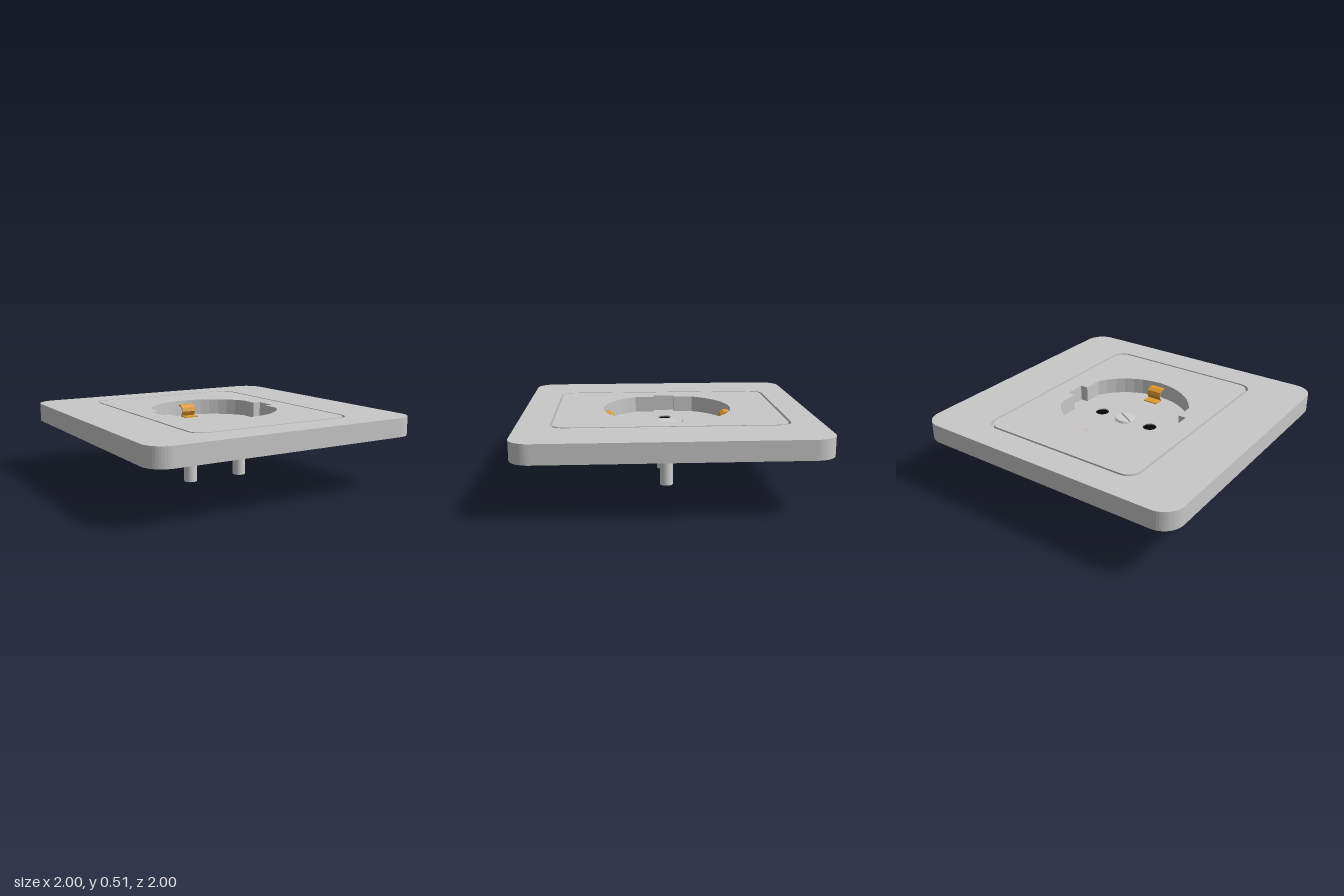
import * as THREE from 'three';

const BOTTOM = 0.38, FLOOR = 0.395, TOP = 0.51;
const CX = 0.007, CZ = -0.012; // centre of the socket insert

const mat = (name, color) => {
  const m = new THREE.MeshStandardMaterial({ color });
  m.name = name;
  return m;
};

// Rounded rectangle; shape y points to -z once laid flat
function roundedRect(hw, hh, r, cx = 0, cy = 0, Type = THREE.Shape) {
  const s = new Type();
  const corners = [[1, 1], [-1, 1], [-1, -1], [1, -1]];
  corners.forEach(([sx, sy], i) =>
    s.absarc(cx + sx * (hw - r), cy + sy * (hh - r), r, i * Math.PI / 2, (i + 1) * Math.PI / 2));
  s.closePath();
  return s;
}

// Round recess with flattened sides and a guide notch on each side
function recessPath() {
  const r = 0.455, flat = 0.4, notch = 0.458, half = 0.077, n = 14;
  const t = Math.acos(flat / r), pts = [];
  for (const side of [1, -1]) {
    pts.push([side * flat, -side * half], [side * notch, -side * half],
      [side * notch, side * half], [side * flat, side * half]);
    for (let i = 0; i <= n; i++) {
      const a = t + (Math.PI - 2 * t) * i / n;
      pts.push([side * r * Math.cos(a), side * r * Math.sin(a)]);
    }
  }
  return new THREE.Path(pts.map(([x, y]) => new THREE.Vector2(x + CX, y - CZ)));
}

// Flat slab of a shape between two heights
function slab(shape, y0, y1, curveSegments = 4) {
  return new THREE.ExtrudeGeometry(shape, { depth: y1 - y0, bevelEnabled: false, curveSegments })
    .rotateX(-Math.PI / 2).translate(0, y0, 0);
}

export function createModel() {
  const group = new THREE.Group();
  const plastic = mat('light grey plastic', 0xc8c8c8);
  const steel = mat('steel', 0xd0d0d0);
  const brass = mat('brass', 0xe09a30);
  const black = mat('black', 0x050505);
  const add = (name, geometry, material) => {
    const m = new THREE.Mesh(geometry, material);
    m.name = name;
    group.add(m);
    return m;
  };

  // Base plate with two pin holes
  const base = roundedRect(1, 1, 0.14);
  for (const s of [-1, 1]) {
    const hole = new THREE.Path();
    hole.absarc(CX + s * 0.208, 0.005, 0.05, 0, Math.PI * 2);
    base.holes.push(hole);
  }
  add('basePlate', slab(base, BOTTOM, FLOOR, 6), plastic);

  // Outer frame, socket insert and the narrow groove between them
  const outer = [0.608, 0.79, 0.1, 0.004, 0.01], inner = [0.592, 0.774, 0.088, 0.004, 0.01];
  const frame = roundedRect(1, 1, 0.14);
  frame.holes.push(roundedRect(...outer, THREE.Path));
  add('frame', slab(frame, FLOOR, TOP, 6), plastic);

  const insert = roundedRect(...inner);
  insert.holes.push(recessPath());
  add('socketInsert', slab(insert, FLOOR, TOP), plastic);

  const groove = roundedRect(...outer);
  groove.holes.push(roundedRect(...inner, THREE.Path));
  add('grooveFloor', slab(groove, FLOOR, 0.475), plastic);

  // Contact pins below, and the black blocks behind the holes
  for (const s of [-1, 1]) {
    const side = s > 0 ? 'left' : 'right';
    add(side + 'Pin', new THREE.CylinderGeometry(0.046, 0.046, 0.383, 20), steel)
      .position.set(CX + s * 0.208, 0.1915, 0.005);
    add(side + 'ContactBlock', new THREE.BoxGeometry(0.3, 0.008, 0.3), black)
      .position.set(CX + s * 0.305, 0.3825, 0);
  }

  // Slotted screw: disc, two raised halves with a slot between, and its tip
  const screw = new THREE.Group();
  screw.name = 'screw';
  screw.position.set(0.01, FLOOR, 0.005 + CZ);
  screw.rotation.y = -Math.PI / 6;
  group.add(screw);
  const disc = new THREE.Mesh(new THREE.CylinderGeometry(0.075, 0.075, 0.006, 24), steel);
  disc.name = 'screwDisc';
  disc.position.y = 0.002;
  screw.add(disc);
  const gap = 0.2;
  for (const s of [0, 1]) {
    const half = new THREE.Shape();
    half.absarc(0, 0, 0.062, gap + s * Math.PI, Math.PI - gap + s * Math.PI);
    half.closePath();
    const g = new THREE.ExtrudeGeometry(half, {
      depth: 0.004, bevelThickness: 0.007, bevelSize: 0.008, bevelSegments: 3, curveSegments: 12,
    }).rotateX(-Math.PI / 2);
    const m = new THREE.Mesh(g, steel);
    m.name = 'screwHeadHalf';
    m.position.y = 0.006;
    screw.add(m);
  }
  add('screwTip', new THREE.CylinderGeometry(0.06, 0.042, 0.018, 10), steel)
    .position.set(0.007, 0.373, 0.005 + CZ);

  // Bent earth clips at the front and back of the recess
  const bend = [[0.33, 0.402], [0.395, 0.402], [0.378, 0.435], [0.385, 0.465],
    [0.41, 0.482], [0.447, 0.482]];
  const t = 0.01;
  const strip = new THREE.Shape([
    ...bend.map(([d, y]) => new THREE.Vector2(d, y)),
    ...bend.slice().reverse().map(([d, y], i) =>
      new THREE.Vector2(d + (i > 0 && i < 5 ? t * 0.8 : 0), y - t * 0.7)),
  ]);
  for (const s of [1, -1]) {
    const g = new THREE.ExtrudeGeometry(strip, { depth: 0.11, bevelEnabled: false })
      .translate(0, 0, -0.055).rotateY(-s * Math.PI / 2);
    const clip = add(s > 0 ? 'frontEarthClip' : 'backEarthClip', g, brass);
    clip.position.set(0.01, 0, CZ);
  }

  return group;
}
